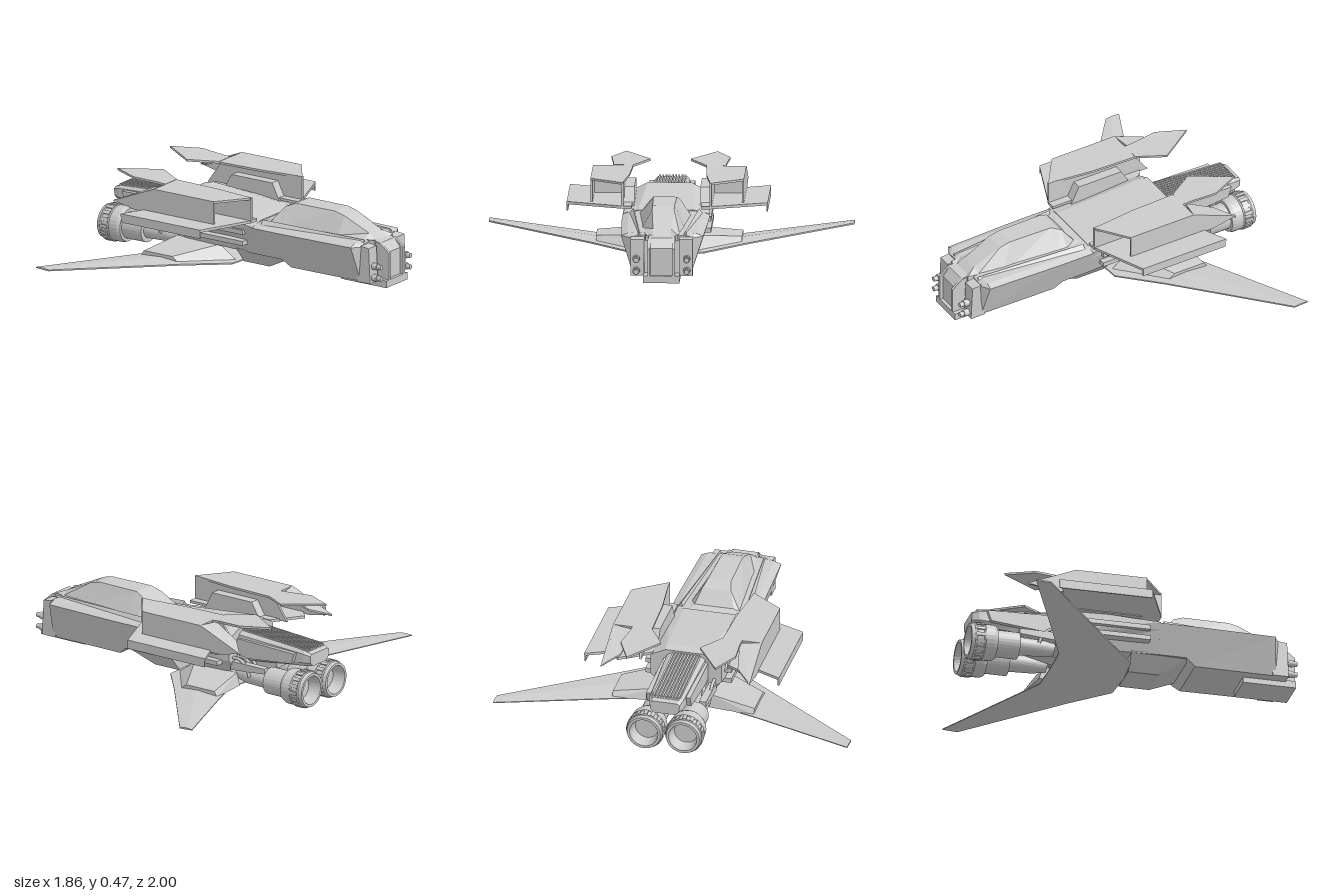
import * as THREE from 'three';

const mat = new THREE.MeshStandardMaterial({ color: 0xcccccc, flatShading: true, side: THREE.DoubleSide });
const smooth = new THREE.MeshStandardMaterial({ color: 0xcccccc, side: THREE.DoubleSide });

// Solid skinned over rings of [x, y, z] points, end caps triangulated; faces outward
function loft(rings) {
  const n = rings[0].length, tris = [];
  for (let r = 0; r < rings.length - 1; r++) {
    for (let i = 0; i < n; i++) {
      const j = (i + 1) % n, a = rings[r], b = rings[r + 1];
      tris.push([a[i], a[j], b[j]], [a[i], b[j], b[i]]);
    }
  }
  const cap = (ring, flip) => {
    const nrm = [0, 0, 0];
    ring.forEach((p, i) => {
      const q = ring[(i + 1) % n];
      for (let k = 0; k < 3; k++) {
        const u = (k + 1) % 3, v = (k + 2) % 3;
        nrm[k] += p[u] * q[v] - p[v] * q[u];
      }
    });
    const k = [0, 1, 2].sort((a, b) => Math.abs(nrm[b]) - Math.abs(nrm[a]))[0];
    const flat = ring.map(p => new THREE.Vector2(p[(k + 1) % 3], p[(k + 2) % 3]));
    const ccw = THREE.ShapeUtils.area(flat) > 0;
    for (const t of THREE.ShapeUtils.triangulateShape(flat, [])) {
      const [a, b, c] = t.map(i => flat[i]);
      const same = ((b.x - a.x) * (c.y - a.y) - (b.y - a.y) * (c.x - a.x) > 0) === ccw;
      const f = t.map(i => ring[i]);
      tris.push(same !== flip ? f : f.reverse());
    }
  };
  cap(rings[0], true);
  cap(rings[rings.length - 1], false);
  const V = p => new THREE.Vector3(...p);
  let vol = 0;
  for (const [a, b, c] of tris) vol += V(a).dot(V(b).cross(V(c)));
  if (vol < 0) tris.forEach(t => t.reverse());
  const g = new THREE.BufferGeometry();
  g.setAttribute('position', new THREE.Float32BufferAttribute(tris.flat(2), 3));
  g.computeVertexNormals();
  return g;
}

// Symmetric cross-section at x from half-outline points [z, y]; lean shifts x with height
const section = (x, half, lean = 0) => [...half, ...half.slice().reverse().map(([z, y]) => [-z, y])]
  .map(([z, y]) => [x - lean * (y - 0.08), y, z]);
// Horizontal plate from plan points [x, z, y], thickness t downward
const plate = (pts, t) => loft([pts, pts].map((r, i) => r.map(([x, z, y]) => [x, y - i * t, z])));
// Vertical slab from side profile [x, y] between z0 and z1
const slab = (pts, z0, z1) => loft([z0, z1].map(z => pts.map(([x, y]) => [x, y, z])));
const box = (x0, x1, y0, y1, z0, z1) => slab([[x0, y0], [x1, y0], [x1, y1], [x0, y1]], z0, z1);

export function createModel() {
  const ship = new THREE.Group();
  ship.name = 'spacecraft';
  const add = (name, geo, m = mat) => {
    const mesh = new THREE.Mesh(geo, m);
    mesh.name = name;
    ship.add(mesh);
    return mesh;
  };

  // Forward fuselage, wider at the deck than at the belly
  const front = [[0.165, 0.08], [0.238, 0.285], [0.2, 0.3], [0.12, 0.305]];
  add('forwardFuselage', loft([
    section(0.13, [[0.18, 0.12], [0.238, 0.285], [0.2, 0.3], [0.15, 0.305]]),
    section(0.29, [[0.18, 0.12], [0.238, 0.285], [0.2, 0.3], [0.14, 0.305]]),
    section(0.34, front),
    section(0.8, [[0.16, 0.08], [0.225, 0.285], [0.19, 0.3], [0.11, 0.305]], 0.1),
    section(0.83, [[0.12, 0.08], [0.17, 0.28], [0.15, 0.29], [0.1, 0.295]], 0.1),
  ]));

  // Faceted canopy
  add('canopy', loft([
    [0.13, 0.15, 0.13, 0.302], [0.18, 0.15, 0.11, 0.315], [0.24, 0.145, 0.08, 0.39], [0.3, 0.14, 0.065, 0.415],
    [0.56, 0.12, 0.06, 0.415], [0.62, 0.12, 0.06, 0.4], [0.78, 0.1, 0.05, 0.325], [0.84, 0.09, 0.05, 0.285],
  ].map(([x, base, top, y]) => section(x, [[base, 0.27], [base - 0.005, 0.302], [top, y]]))));
  for (const s of [-1, 1]) {
    add('canopyRail', loft([
      [[0.16, 0.3, s * 0.2], [0.16, 0.3, s * 0.17], [0.16, 0.325, s * 0.18]],
      [[0.8, 0.29, s * 0.14], [0.8, 0.29, s * 0.115], [0.8, 0.31, s * 0.125]],
    ]));
  }

  // Nose block, chin and gun cheeks
  add('noseBlock', slab([[0.78, 0.06], [0.91, 0.06], [0.91, 0.24], [0.87, 0.29], [0.78, 0.3]], -0.07, 0.07));
  add('chin', box(0.63, 0.93, 0.05, 0.09, -0.1, 0.1));
  for (const s of [-1, 1]) {
    add('noseFin', slab([[0.82, 0.05], [0.93, 0.05], [0.93, 0.24], [0.87, 0.29], [0.82, 0.29]], s * 0.06, s * 0.075));
    add('gunCheek', slab([[0.78, 0.08], [0.87, 0.08], [0.86, 0.28], [0.78, 0.29]], s * 0.095, s * 0.17));
    for (const y of [0.11, 0.175]) {
      const gun = add('gunBarrel', new THREE.CylinderGeometry(0.014, 0.014, 0.08, 12).rotateZ(Math.PI / 2), smooth);
      gun.position.set(0.885, y, s * 0.138);
      const collar = add('gunCollar', new THREE.CylinderGeometry(0.02, 0.02, 0.03, 12).rotateZ(Math.PI / 2), smooth);
      collar.position.set(0.885, y, s * 0.138);
    }
  }

  // Middle hull and keel
  add('middleHull', loft([
    section(-0.43, [[0.12, 0.13], [0.2, 0.2], [0.2, 0.32], [0.115, 0.36]]),
    section(-0.38, [[0.15, 0.12], [0.205, 0.2], [0.205, 0.325], [0.12, 0.37]]),
    section(0.13, [[0.18, 0.12], [0.225, 0.25], [0.238, 0.29], [0.155, 0.31]]),
  ]));
  add('keel', loft([
    section(-0.02, [[0.1, 0.035], [0.18, 0.13]]), section(0.15, [[0.1, 0.035], [0.18, 0.13]]),
    section(0.3, [[0.14, 0.11], [0.17, 0.13]]),
  ]));

  // Ribbed tail spine over the engines
  add('tailSpine', loft([
    section(-0.9, [[0.06, 0.23], [0.08, 0.25], [0.085, 0.29], [0.07, 0.3]]),
    section(-0.86, [[0.07, 0.225], [0.095, 0.25], [0.095, 0.3], [0.08, 0.315]]),
    section(-0.4, [[0.1, 0.18], [0.12, 0.22], [0.11, 0.33], [0.085, 0.345]]),
  ]));
  for (let i = 0; i < 9; i++) {
    const z = -0.07 + i * 0.0175;
    add('spineRib', slab([[-0.88, 0.3], [-0.39, 0.335], [-0.39, 0.354], [-0.87, 0.322]], z - 0.005, z + 0.005));
  }
  add('engineMount', slab([[-0.66, 0.17], [-0.4, 0.1], [-0.4, 0.22], [-0.66, 0.24]], -0.07, 0.07));

  for (const s of [-1, 1]) {
    const P = pts => pts.map(([x, z, y]) => [x, s * z, y]);

    // Swept wing and its root fairing
    add('wing', loft([
      [0, -0.44, -0.02, 0.035, 0.055], [0.2, -0.44, -0.03, 0.04, 0.065], [0.42, -0.53, -0.22, 0.055, 0.075],
      [1, -0.78, -0.695, 0.085, 0.097],
    ].map(([z, rear, lead, y0, y1]) => [[rear, y0 + 0.005], [lead, y0], [lead, y0 + 0.008], [(rear + lead) / 2, y1], [rear, y0 + 0.01]]
      .map(([x, y]) => [x, y, s * z]))));
    add('wingFairing', loft([
      [[-0.46, 0.05, s * 0.14], [-0.05, 0.05, s * 0.14], [-0.15, 0.12, s * 0.14], [-0.44, 0.12, s * 0.14]],
      [[-0.5, 0.06, s * 0.4], [-0.25, 0.06, s * 0.4], [-0.29, 0.09, s * 0.4], [-0.48, 0.09, s * 0.4]],
    ]));

    // Side shelf with hanging lip
    add('shelf', plate(P([[0.13, 0.19, 0.33], [0.13, 0.24, 0.33], [0, 0.55, 0.33], [-0.53, 0.55, 0.33], [-0.47, 0.42, 0.33], [-0.53, 0.36, 0.33], [-0.42, 0.19, 0.33]]), 0.015));
    add('shelfLip', box(-0.525, 0, 0.28, 0.33, s * 0.542, s * 0.55));

    // Hollow intake pod with raked mouth and sloped tail
    add('podRoof', plate(P([[0.13, 0.24, 0.46], [0, 0.42, 0.46], [-0.4, 0.42, 0.46], [-0.4, 0.2, 0.46], [-0.13, 0.21, 0.46]]), 0.012));
    add('podOuterWall', slab([[0, 0.32], [0, 0.46], [-0.4, 0.46], [-0.67, 0.35], [-0.53, 0.32]], s * 0.408, s * 0.42));
    add('podInnerWall', slab([[0.13, 0.32], [0.13, 0.46], [-0.4, 0.46], [-0.5, 0.32]], s * 0.235, s * 0.248));
    add('podBulkhead', box(-0.3, -0.28, 0.32, 0.455, s * 0.24, s * 0.415));
    add('podBracket', slab([[-0.36, 0.31], [0.02, 0.31], [-0.03, 0.41], [-0.3, 0.41]], s * 0.18, s * 0.24));

    // Tail feathers behind the pod
    add('lowerFeather', plate(P([[-0.4, 0.42, 0.46], [-0.67, 0.42, 0.35], [-0.58, 0.33, 0.385], [-0.42, 0.3, 0.455]]), 0.01));
    add('upperFeather', plate(P([[-0.4, 0.31, 0.462], [-0.45, 0.31, 0.465], [-0.6, 0.325, 0.472], [-0.76, 0.25, 0.474], [-0.55, 0.11, 0.47], [-0.4, 0.2, 0.462]]), 0.012));

    // Side rails
    for (const y of [0.187, 0.25]) add('sideRail', box(-0.38, 0.07, y - 0.013, y + 0.013, s * 0.19, s * 0.243));

    // Engine: stepped body with hollow nozzle
    const profile = [[0, -0.86], [0.065, -0.86], [0.08, -0.93], [0.095, -0.93], [0.1, -0.91], [0.1, -0.8], [0.092, -0.78],
      [0.075, -0.78], [0.075, -0.65], [0.05, -0.65], [0.045, -0.5], [0.03, -0.43], [0, -0.43]];
    const body = new THREE.LatheGeometry(profile.map(([r, x]) => new THREE.Vector2(r, x)), 28).rotateZ(-Math.PI / 2);
    add('engine', body).position.set(0, 0.11, s * 0.11);
    for (const x of [-0.905, -0.855]) {
      const ring = add('nozzleRing', new THREE.TorusGeometry(0.099, 0.006, 6, 28).rotateY(Math.PI / 2), smooth);
      ring.position.set(x, 0.11, s * 0.11);
    }
    for (let i = 0; i < 16; i++) {
      const a = i * Math.PI / 8;
      const tooth = add('nozzleTooth', new THREE.BoxGeometry(0.045, 0.012, 0.02));
      tooth.position.set(-0.88, 0.11 + 0.1 * Math.cos(a), s * 0.11 + 0.1 * Math.sin(a));
      tooth.rotation.x = a;
    }

    // Feed hoses from hull to engine
    for (let i = 0; i < 3; i++) {
      const z = s * (0.08 + i * 0.04);
      const path = new THREE.CatmullRomCurve3([[-0.41, 0.21, z], [-0.48, 0.205, z], [-0.52, 0.17, z], [-0.54, 0.12, z]]
        .map(p => new THREE.Vector3(...p)));
      add('feedHose', new THREE.TubeGeometry(path, 12, 0.009, 8), smooth);
    }
    // Struts beside the spine
    add('tailStrut', slab([[-0.8, 0.24], [-0.42, 0.2], [-0.42, 0.31], [-0.82, 0.3]], s * 0.1, s * 0.125));
    add('sideStrut', slab([[-0.65, 0.16], [-0.42, 0.14], [-0.42, 0.19], [-0.65, 0.19]], s * 0.13, s * 0.17));
  }
  return ship;
}
